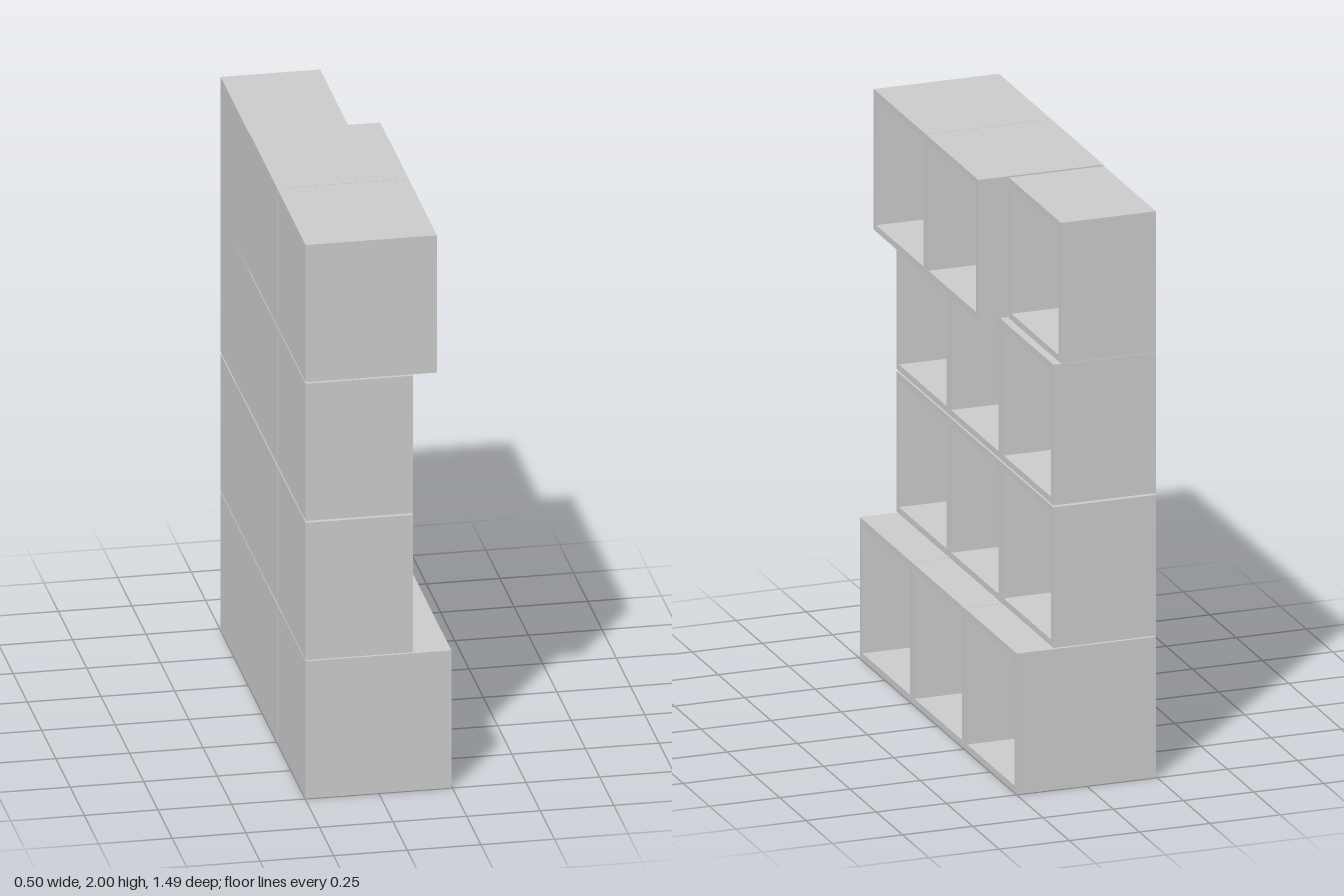
import * as THREE from 'three';

const SIZE = 0.496; // outer width and height of one cubby
const WALL = 0.023;
const BACK = -0.248; // shared rear plane

const material = new THREE.MeshStandardMaterial({ color: 0xcccccc, flatShading: true });

// Square outline centred on the cubby axis
function square(PathType, size) {
  const h = size / 2;
  const path = new PathType();
  path.moveTo(-h, -h);
  path.lineTo(h, -h);
  path.lineTo(h, h);
  path.lineTo(-h, h);
  path.closePath();
  return path;
}

// Box open towards +x: four-sided frame plus an inset back panel
function makeCubby(depth) {
  const cubby = new THREE.Group();
  const outline = square(THREE.Shape, SIZE);
  outline.holes.push(square(THREE.Path, SIZE - 2 * WALL));
  const frameGeometry = new THREE.ExtrudeGeometry(outline, { depth, bevelEnabled: false });
  frameGeometry.rotateY(Math.PI / 2);
  const frame = new THREE.Mesh(frameGeometry, material);
  frame.name = 'cubbyFrame';

  const inner = SIZE - 2 * WALL;
  const panel = new THREE.Mesh(new THREE.BoxGeometry(WALL, inner, inner), material);
  panel.position.x = WALL / 2;
  panel.name = 'cubbyBackPanel';

  cubby.add(frame, panel);
  return cubby;
}

export function createModel() {
  const model = new THREE.Group();
  model.name = 'cubbyShelf';

  // Rows from the floor up; depths run from the front column to the rear one
  const rows = [
    { name: 'bottom', y: 0, depths: [0.495, 0.495, 0.495] },
    { name: 'lowerMiddle', y: 0.5, depths: [0.365, 0.365, 0.365] },
    { name: 'upperMiddle', y: 1.003, depths: [0.365, 0.365, 0.365] },
    { name: 'top', y: 1.504, depths: [0.446, 0.446, 0.338] },
  ];
  const columns = [
    { name: 'Front', z: 0.499 },
    { name: 'Centre', z: 0.001 },
    { name: 'Rear', z: -0.497 },
  ];

  for (const row of rows) {
    columns.forEach((column, i) => {
      const cubby = makeCubby(row.depths[i]);
      cubby.name = `${row.name}${column.name}Cubby`;
      // The shallow top cubby rests directly on the one below
      const drop = row.name === 'top' && i === 2 ? 0.004 : 0;
      cubby.position.set(BACK, row.y + SIZE / 2 - drop, column.z);
      model.add(cubby);
    });
  }
  return model;
}
